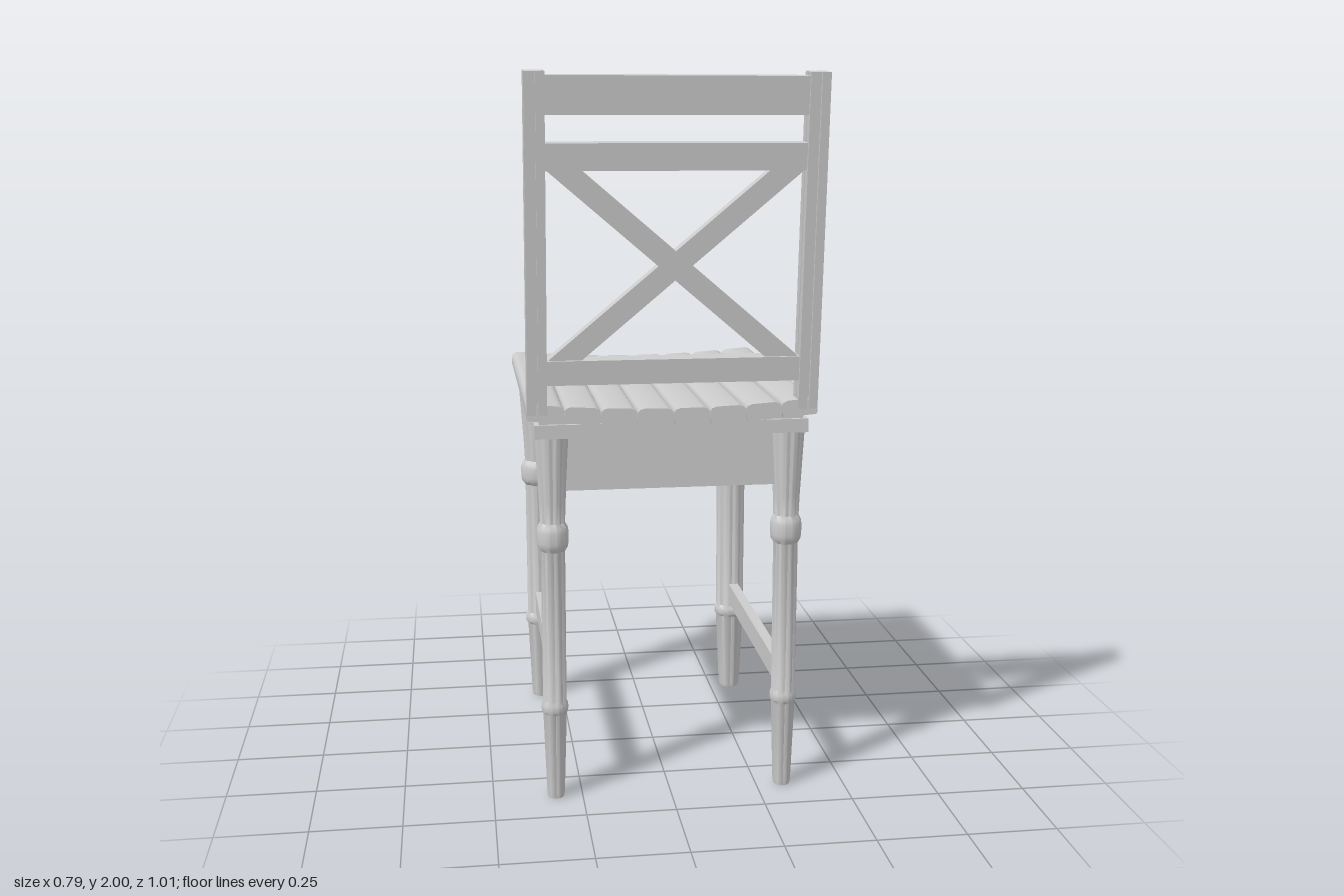
import * as THREE from 'three';
import { mergeVertices, toCreasedNormals } from 'three/addons/utils/BufferGeometryUtils.js';

const material = new THREE.MeshStandardMaterial({ color: 0xcccccc });

function add(parent, name, geometry, x = 0, y = 0, z = 0) {
  const mesh = new THREE.Mesh(geometry, material);
  mesh.name = name;
  mesh.position.set(x, y, z);
  parent.add(mesh);
  return mesh;
}

// Box given by its lower and upper limits
function slab(parent, name, [x0, x1], [y0, y1], [z0, z1]) {
  return add(parent, name, new THREE.BoxGeometry(x1 - x0, y1 - y0, z1 - z0),
    (x0 + x1) / 2, (y0 + y1) / 2, (z0 + z1) / 2);
}

function extrude(points, depth) {
  const shape = new THREE.Shape(points.map(([x, y]) => new THREE.Vector2(x, y)));
  return new THREE.ExtrudeGeometry(shape, { depth, bevelEnabled: false });
}

// Turned leg with a large collar, a thin ring and eight flutes along the shaft
function legGeometry(scale) {
  const profile = [[0, 0], [0.03, 0], [0.034, 0.012], [0.045, 0.25], [0.049, 0.258], [0.05, 0.268],
    [0.049, 0.278], [0.045, 0.288], [0.046, 0.72], [0.055, 0.732], [0.058, 0.745], [0.058, 0.775],
    [0.055, 0.788], [0.047, 0.8], [0.05, 0.86], [0.063, 1.04]];
  let geometry = new THREE.LatheGeometry(profile.map(([r, y]) => new THREE.Vector2(r * scale, y)), 64);
  const p = geometry.attributes.position;
  for (let i = 0; i < p.count; i++) {
    const y = p.getY(i);
    const plain = (y > 0.255 && y < 0.28) || (y > 0.725 && y < 0.79) || y < 0.005;
    if (plain) continue;
    const angle = Math.atan2(p.getZ(i), p.getX(i));
    const k = 1 - 0.12 * Math.pow(Math.abs(Math.cos(4 * angle)), 4);
    p.setXYZ(i, p.getX(i) * k, y, p.getZ(i) * k);
  }
  geometry.deleteAttribute('uv');
  geometry.deleteAttribute('normal');
  geometry = mergeVertices(geometry, 1e-5);
  return toCreasedNormals(geometry, 0.6);
}

export function createModel() {
  const chair = new THREE.Group();
  chair.name = 'chair';

  // Legs, aprons and side stretchers
  const frontLeg = legGeometry(1);
  const backLeg = legGeometry(0.75);
  for (const side of [-1, 1]) {
    const label = side > 0 ? 'left' : 'right';
    add(chair, `${label}FrontLeg`, frontLeg, side * 0.315, 0, -0.415);
    add(chair, `${label}BackLeg`, backLeg, side * 0.325, 0, 0.365);
    add(chair, `${label}Apron`, new THREE.BoxGeometry(0.03, 0.155, 0.76), side * 0.325, 0.967, -0.025);
    add(chair, `${label}Stretcher`, new THREE.BoxGeometry(0.03, 0.065, 0.76), side * 0.32, 0.332, -0.025);
  }
  slab(chair, 'frontApron', [-0.31, 0.31], [0.89, 1.045], [-0.43, -0.4]);
  slab(chair, 'backApron', [-0.31, 0.31], [0.89, 1.045], [0.35, 0.38]);

  // Moulded frame below the seat
  slab(chair, 'seatFrame', [-0.373, 0.373], [1.04, 1.078], [-0.48, 0.41]);
  slab(chair, 'seatFrameStep', [-0.36, 0.36], [1.07, 1.1], [-0.47, 0.4]);

  // Seat of eight round-edged planks, dished across its width
  const count = 8, width = 0.78 / count;
  const h = width / 2;
  const plank = toCreasedNormals(extrude([[-h + 0.004, -0.045], [h - 0.004, -0.045], [h, -0.037],
    [h, -0.012], [h - 0.006, -0.004], [h - 0.018, 0], [-h + 0.018, 0], [-h + 0.006, -0.004],
    [-h, -0.012], [-h, -0.037]], 0.93), 0.7);
  const seat = new THREE.Group();
  seat.name = 'seat';
  for (let i = 0; i < count; i++) {
    const x = -0.39 + (i + 0.5) * width;
    const t = x / 0.39;
    const mesh = add(seat, 'seatPlank', plank, x, 1.12 + 0.02 * t * t, -0.5);
    mesh.rotation.z = 0.04 * t / 0.39;
  }
  chair.add(seat);

  // Leaning backrest; its local origin is at seat height
  const back = new THREE.Group();
  back.name = 'backrest';
  back.position.set(0, 1.14, 0.4);
  back.rotation.x = 0.085;
  chair.add(back);

  // Posts with a groove down each face
  const a = 0.0265, b = 0.0325, g = 0.003, d = 0.008;
  const post = extrude([[-a, -b], [-g, -b], [-g, d - b], [g, d - b], [g, -b], [a, -b],
    [a, -g], [a - d, -g], [a - d, g], [a, g], [a, b], [g, b], [g, b - d], [-g, b - d], [-g, b],
    [-a, b], [-a, g], [d - a, g], [d - a, -g], [-a, -g]], 0.89);
  post.rotateX(-Math.PI / 2);
  for (const side of [-1, 1]) {
    add(back, side > 0 ? 'leftPost' : 'rightPost', post, side * 0.3655, -0.03, 0);
  }

  // Cross rails
  slab(back, 'topRail', [-0.345, 0.345], [0.752, 0.85], [-0.025, 0.025]);
  slab(back, 'middleRail', [-0.345, 0.345], [0.612, 0.682], [-0.025, 0.025]);
  slab(back, 'lowerRail', [-0.345, 0.345], [0.05, 0.116], [-0.025, 0.025]);

  // Crossed braces
  const y0 = 0.112, y1 = 0.616;
  add(back, 'fallingBrace', extrude([[0.25, y0], [0.34, y0], [-0.25, y1], [-0.34, y1]], 0.036), 0, 0, -0.018);
  add(back, 'risingBrace', extrude([[-0.34, y0], [-0.25, y0], [0.34, y1], [0.25, y1]], 0.035), 0, 0, -0.0175);

  return chair;
}
